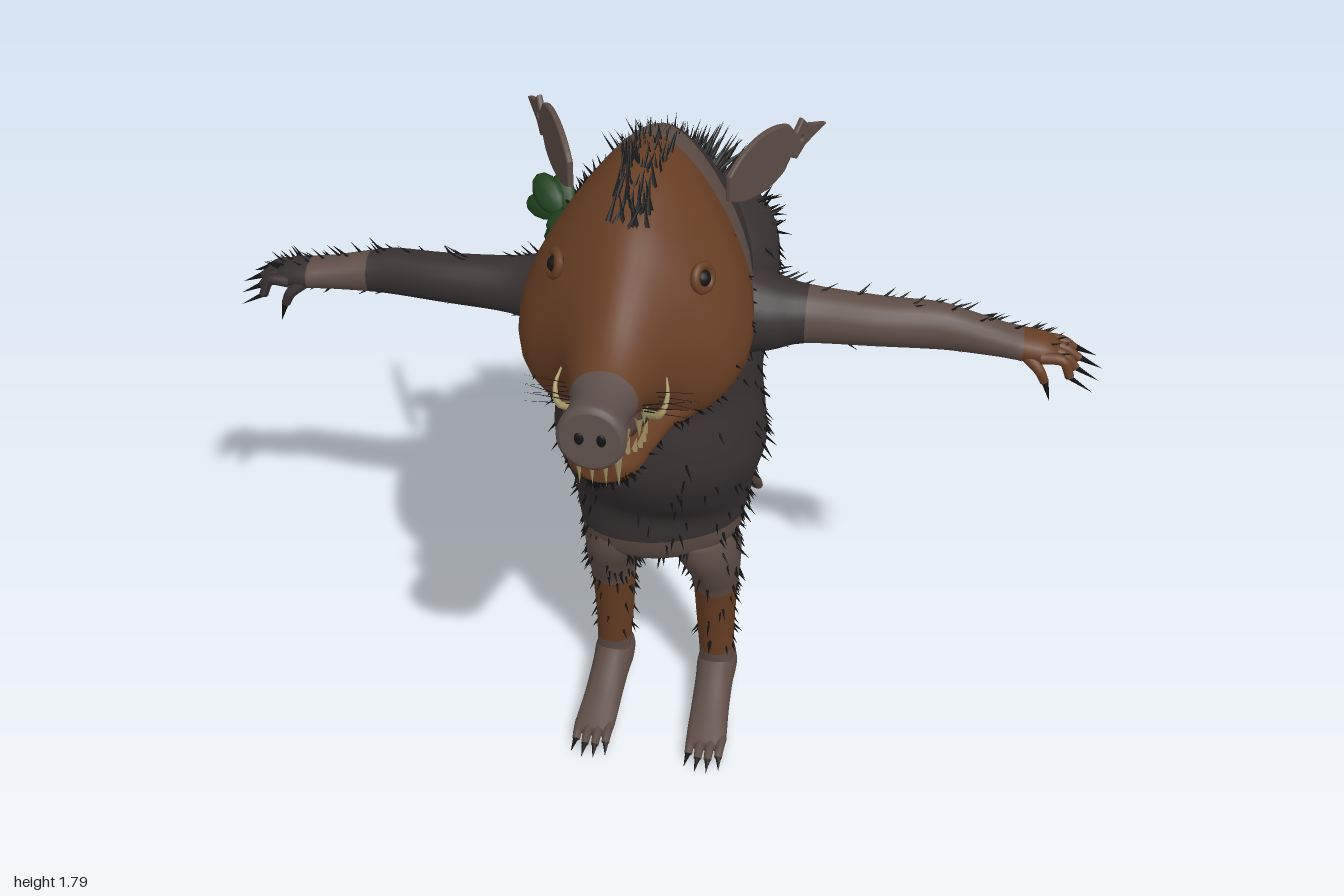
import * as THREE from 'three';
import { mergeGeometries } from 'three/addons/utils/BufferGeometryUtils.js';

const V = (x, y, z) => new THREE.Vector3(x, y, z);
const paint = (name, color, side = THREE.FrontSide) => {
  const m = new THREE.MeshStandardMaterial({ color, side });
  m.name = name;
  return m;
};

export function createModel() {
  const model = new THREE.Group();
  model.name = 'boarRatCreature';
  const dark = paint('darkHide', 0x373031), brown = paint('rustHide', 0x663d23);
  const grey = paint('greyHide', 0x5d4c45, THREE.DoubleSide), snoutGrey = paint('snoutSkin', 0x5e504c);
  const black = paint('blackBristle', 0x151415, THREE.DoubleSide), green = paint('leafGreen', 0x20401e);
  const bone = paint('toothBone', 0xa59667), mouthRed = paint('mouthFlesh', 0x3a2420);

  let seed = 7;
  const rnd = () => (seed = (seed * 16807) % 2147483647) / 2147483647;
  const add = (name, geo, mat) => {
    const m = new THREE.Mesh(geo, mat);
    m.name = name;
    model.add(m);
    return m;
  };

  // Smooth skin through rows [t, a, b, ra, rb, pear, shear] along an axis; colours = [[untilRow, material], ...]
  function loft(name, axis, rows, colours, side = 1, n = 28, sub = 4) {
    const get = (i, k) => rows[Math.min(Math.max(i, 0), rows.length - 1)][k] || 0;
    const pos = [], idx = [], rings = (rows.length - 1) * sub + 1;
    const put = (t, a, b) => {
      const p = axis === 'x' ? [t, a, b] : axis === 'y' ? [b, t, a] : [a, b, t];
      pos.push(p[0] * side, p[1], p[2]);
    };
    const row = r => {
      const i = Math.min(Math.floor(r / sub), rows.length - 2), f = r / sub - i;
      return [0, 1, 2, 3, 4, 5, 6].map(k => {
        const p1 = get(i, k), p2 = get(i + 1, k);
        const m1 = (p2 - get(i - 1, k)) / 2, m2 = (get(i + 2, k) - p1) / 2;
        return p1 + m1 * f + (3 * (p2 - p1) - 2 * m1 - m2) * f * f + (2 * (p1 - p2) + m1 + m2) * f ** 3;
      });
    };
    for (let r = 0; r < rings; r++) {
      const [t, a, b, ra, rb, pear, shear] = row(r);
      for (let j = 0; j < n; j++) {
        const c = Math.cos(j / n * Math.PI * 2), s = Math.sin(j / n * Math.PI * 2);
        put(t + shear * rb * s, a + ra * c * (1 - pear * s), b + rb * s);
      }
    }
    const first = row(0), last = row(rings - 1);
    put(...first); put(...last);
    const tri = (a, b, c) => side > 0 ? idx.push(a, b, c) : idx.push(a, c, b);
    const geo = new THREE.BufferGeometry();
    let start = 0, ci = 0;
    for (let j = 0; j < n; j++) tri(rings * n, (j + 1) % n, j);
    for (let r = 0; r < rings - 1; r++) {
      if (r === colours[ci][0] * sub) {
        geo.addGroup(start, idx.length - start, ci++);
        start = idx.length;
      }
      for (let j = 0; j < n; j++) {
        const a = r * n + j, b = r * n + (j + 1) % n;
        tri(a, b, a + n); tri(b, b + n, a + n);
      }
    }
    for (let j = 0; j < n; j++) tri(rings * n + 1, (rings - 1) * n + j, (rings - 1) * n + (j + 1) % n);
    geo.addGroup(start, idx.length - start, ci);
    geo.setAttribute('position', new THREE.Float32BufferAttribute(pos, 3));
    geo.setIndex(idx);
    geo.computeVertexNormals();
    return add(name, geo, colours.map(c => c[1]));
  }

  // Spikes: a list of [base, direction, length, radius] merged into one mesh
  const unit = new THREE.ConeGeometry(1, 1, 4, 1, true).translate(0, 0.5, 0);
  const spikes = (name, list, mat) => add(name, mergeGeometries(list.map(([p, d, l, r]) => unit.clone().applyMatrix4(
    new THREE.Matrix4().compose(p, new THREE.Quaternion().setFromUnitVectors(V(0, 1, 0), d.clone().normalize()), V(r, l, r))))), mat);

  // Scatter bristles over a skin; rule(p, n) gives [direction, length, radius] or null
  function bristles(name, mesh, tries, rule) {
    const g = mesh.geometry, ix = g.index, list = [];
    for (let k = 0; k < tries; k++) {
      const t = Math.floor(rnd() * ix.count / 3) * 3, u = rnd(), w = rnd() * (1 - u);
      const mix = at => [u, w, 1 - u - w].reduce((s, f, q) =>
        s.addScaledVector(V(0, 0, 0).fromBufferAttribute(at, ix.getX(t + q)), f), V(0, 0, 0));
      const p = mix(g.attributes.position), nrm = mix(g.attributes.normal).normalize(), h = rule(p, nrm);
      if (h) list.push([p.addScaledVector(nrm, -0.004), h[0], h[1] * (0.7 + rnd() * 0.6), h[2]]);
    }
    spikes(name, list, black);
  }
  const jitter = s => V(rnd() - 0.5, rnd() - 0.5, rnd() - 0.5).multiplyScalar(s);

  // Torso with belly and humped back: [y, front z, back z, half width]
  const torso = loft('torso', 'y', [
    [0.53, 0.12, -0.03, 0.11], [0.57, 0.165, -0.075, 0.19], [0.635, 0.185, -0.09, 0.206], [0.72, 0.195, -0.095, 0.218],
    [0.8, 0.25, -0.115, 0.23], [0.9, 0.295, -0.145, 0.255], [1.0, 0.295, -0.14, 0.25], [1.1, 0.28, -0.14, 0.24],
    [1.2, 0.285, -0.21, 0.245], [1.3, 0.26, -0.268, 0.26], [1.4, 0.2, -0.275, 0.25], [1.47, 0.13, -0.225, 0.21],
    [1.53, 0.07, -0.15, 0.13], [1.56, 0.0, -0.08, 0.05],
  ].map(([y, f, b, w]) => [y, (f + b) / 2, 0, (f - b) / 2, w, 0, y < 0.7 ? 0.16 : 0]), [[2, grey], [99, dark]], 1, 36);
  bristles('torsoBristles', torso, 1500, (p, n) => {
    if (p.z < -0.06 && p.y > 1.12) return [n.clone().multiplyScalar(0.6).add(V(0, -0.3, -0.6)).add(jitter(0.5)), 0.055, 0.005];
    if (rnd() < (p.z > 0.1 ? 0.8 : 0.35)) return null;
    return [n.clone().multiplyScalar(0.45).add(V(0, -0.8, -0.15)).add(jitter(0.5)), 0.04, 0.0045];
  });

  // Long mane down the middle of the hump
  const ridge = new THREE.CatmullRomCurve3([V(0, 1.54, -0.04), V(0, 1.52, -0.14), V(0, 1.46, -0.22), V(0, 1.38, -0.265), V(0, 1.29, -0.255), V(0, 1.2, -0.2), V(0, 1.13, -0.15)]);
  const mane = [];
  for (let i = 0; i < 300; i++) {
    const p = ridge.getPointAt(rnd()), x = (rnd() + rnd() - 1) * 0.12;
    const out = V(x * 2, p.y - 1.33, p.z + 0.02).normalize().add(V(0, 0, -0.3)).add(jitter(0.5));
    mane.push([p.add(V(x, 0, Math.abs(x) * 0.15)), out, 0.075 + rnd() * 0.05, 0.006]);
  }
  spikes('backMane', mane, black);

  // Head: [z, top y, bottom y, half width, shear, pear]
  const rowsZ = list => list.map(([z, t, b, w, s = 0, pear = 0]) => [z, 0, (t + b) / 2, w, (t - b) / 2, pear, s]);
  const head = loft('head', 'z', rowsZ([
    [-0.07, 1.57, 1.22, 0.19, -0.34, 0.3], [0.05, 1.67, 1.22, 0.2, -0.34, 0.35], [0.14, 1.725, 1.22, 0.21, -0.34, 0.38],
    [0.25, 1.755, 1.23, 0.225, -0.34, 0.38], [0.35, 1.757, 1.235, 0.236, -0.3, 0.38], [0.45, 1.71, 1.25, 0.212, -0.2, 0.38],
    [0.52, 1.65, 1.28, 0.163, -0.1, 0.3], [0.58, 1.597, 1.33, 0.118, 0, 0.2], [0.64, 1.557, 1.375, 0.09, 0, 0.1],
    [0.7, 1.53, 1.395, 0.069], [0.74, 1.523, 1.4, 0.06], [0.78, 1.525, 1.394, 0.063, -0.05], [0.82, 1.53, 1.386, 0.07, -0.08],
    [0.832, 1.518, 1.398, 0.058, -0.08],
  ]), [[2, dark], [3, grey], [9, brown], [99, snoutGrey]], 1, 36);
  bristles('headBristles', head, 1500, (p, n) => {
    if (p.z > 0.6 || p.z < 0.1 || rnd() < (p.y < 1.34 ? 0.6 : 0.88)) return null;
    return [n.clone().multiplyScalar(0.3).add(V(0, -0.6, -0.6)).add(jitter(0.3)), 0.036, 0.0045];
  });
  const crest = [];
  for (let i = 0; i < 150; i++) {
    const z = -0.06 + rnd() * 0.5;
    const y = z > 0.2 ? 1.755 - (z - 0.25) ** 2 * 1.5 : 1.755 - (0.2 - z) * 0.6;
    crest.push([V((rnd() - 0.5) * 0.09, y - 0.02, z), V(0, 0.8, -0.6).add(jitter(0.7)), 0.045 + rnd() * 0.035, 0.006]);
  }
  spikes('headCrest', crest, black);

  // Jaw and mouth
  const jaw = loft('lowerJaw', 'z', rowsZ([[0.36, 1.36, 1.235, 0.2], [0.48, 1.37, 1.25, 0.17], [0.56, 1.37, 1.262, 0.12],
    [0.65, 1.36, 1.268, 0.09], [0.72, 1.36, 1.274, 0.074], [0.752, 1.362, 1.29, 0.052], [0.76, 1.355, 1.3, 0.035]]), [[99, brown]]);
  bristles('chinBeard', jaw, 330, (p, n) => p.y > 1.33 ? null :
    [n.clone().multiplyScalar(0.3).add(V(0, -0.6, -0.5)).add(jitter(0.4)), 0.034, 0.0045]);
  loft('mouth', 'z', rowsZ([[0.48, 1.42, 1.32, 0.12], [0.58, 1.4, 1.33, 0.09], [0.67, 1.37, 1.335, 0.05]]), [[99, mouthRed]], 1, 16);
  const teeth = [];
  for (let i = -7; i <= 7; i++) {
    const a = i / 7 * 1.75;
    const p = V(Math.sin(a) * 0.07, 1.335, 0.655 + Math.cos(a) * 0.085);
    teeth.push([p, V(Math.sin(a) * 0.2, 1, 0.1), Math.abs(i) < 4 ? 0.06 : 0.045, 0.008]);
    if (i % 2) teeth.push([p.clone().setY(1.41), V(0, -1, 0), 0.05, 0.009]);
  }
  for (const x of [-0.04, -0.014, 0.014, 0.04]) teeth.push([V(x, 1.375, 0.765), V(0, -1, -0.05), 0.085, 0.009]);
  spikes('teeth', teeth, bone);

  // Tapered tube: a bent limb along a few points
  function taper(name, pts, r0, r1, mat, seg = 10, sides = 8) {
    const curve = new THREE.CatmullRomCurve3(pts), g = new THREE.TubeGeometry(curve, seg, 1, sides), at = g.attributes.position;
    for (let i = 0; i < at.count; i++) {
      const f = Math.floor(i / (sides + 1)) / seg, c = curve.getPointAt(f), r = r0 + (r1 - r0) * f;
      const v = V(0, 0, 0).fromBufferAttribute(at, i).sub(c).multiplyScalar(r).add(c);
      at.setXYZ(i, v.x, v.y, v.z);
    }
    return add(name, g, mat);
  }

  for (const s of [1, -1]) {
    const label = s > 0 ? 'left' : 'right';

    // Face details
    add(label + 'Eye', new THREE.SphereGeometry(0.02, 14, 10).translate(s * 0.15, 1.593, 0.437), black);
    const lid = add(label + 'Eyelid', new THREE.TorusGeometry(0.025, 0.01, 8, 18), brown);
    lid.position.set(s * 0.154, 1.595, 0.439);
    lid.lookAt(s * 0.9, 1.85, 0.85);
    const nostril = add(label + 'Nostril', new THREE.SphereGeometry(0.012, 10, 8), black);
    nostril.position.set(s * 0.022, 1.462, 0.832);
    nostril.scale.set(0.8, 1.2, 0.4);
    taper(label + 'Tusk', [V(s * 0.08, 1.38, 0.63), V(s * 0.105, 1.4, 0.65), V(s * 0.115, 1.43, 0.63), V(s * 0.108, 1.455, 0.6)], 0.01, 0.002, bone);
    const whiskers = [];
    for (let i = 0; i < 6; i++)
      whiskers.push([V(s * 0.065, 1.4 + (i % 3) * 0.018, 0.6 + i * 0.015), V(s, (i % 3) * 0.1 - 0.1, 0.1 - i * 0.05), 0.12, 0.0018]);
    spikes(label + 'Whiskers', whiskers, black);

    // Torn ear with a hole
    const e = new THREE.Shape();
    e.moveTo(0, -0.025);
    e.bezierCurveTo(0.06, -0.06, 0.14, -0.07, 0.2, -0.045);
    e.lineTo(0.225, -0.02); e.lineTo(0.25, -0.035); e.lineTo(0.28, -0.015); e.lineTo(0.36, 0.0);
    e.lineTo(0.29, 0.025); e.lineTo(0.27, 0.045); e.lineTo(0.245, 0.02); e.lineTo(0.215, 0.055);
    e.bezierCurveTo(0.16, 0.085, 0.06, 0.085, 0, 0.03);
    e.holes.push(new THREE.Path().absarc(0.265, 0.004, 0.011, 0, Math.PI * 2, true));
    const ear = add(label + 'Ear', new THREE.ExtrudeGeometry(e, { depth: 0.006, bevelSize: 0.004, bevelThickness: 0.004, bevelSegments: 2 }), grey);
    ear.position.set(s * 0.17, 1.675, 0.22);
    ear.rotation.y = s > 0 ? 1.107 : Math.PI - 1.107;

    // Arm, hand and claws
    const hand = s > 0 ? brown : dark;
    const arm = loft(label + 'Arm', 'x', [
      [0.16, 1.31, 0.1, 0.12, 0.11], [0.26, 1.3, 0.105, 0.088, 0.09], [0.34, 1.3, 0.1, 0.068, 0.064], [0.5, 1.3, 0.1, 0.058, 0.056],
      [0.62, 1.297, 0.09, 0.056, 0.05], [0.68, 1.293, 0.092, 0.05, 0.046], [0.77, 1.288, 0.105, 0.038, 0.044],
      [0.82, 1.285, 0.11, 0.034, 0.047], [0.87, 1.28, 0.108, 0.03, 0.046], [0.9, 1.272, 0.106, 0.018, 0.036],
    ], s > 0 ? [[2, dark], [7, grey], [99, brown]] : [[5, dark], [7, grey], [99, dark]], s, 20);
    bristles(label + 'ArmBristles', arm, 200, (p, n) => Math.abs(p.x) < 0.24 || n.z > 0.3 ? null :
      [n.clone().multiplyScalar(0.5).add(V(s * 0.8, 0, -0.2)).add(jitter(0.5)), 0.036, 0.004]);
    const claws = [];
    for (let i = 0; i < 4; i++) {
      const z = 0.07 + i * 0.026, x = 0.95 - Math.abs(i - 1.2) * 0.012, y = 1.258 - i * 0.007;
      taper(label + 'Finger', [V(s * 0.86, 1.278, z), V(s * 0.91, 1.275, z), V(s * x, y, z * 1.1 - 0.01)], 0.015, 0.01, hand);
      claws.push([V(s * (x - 0.008), y + 0.005, z * 1.1 - 0.01), V(s, -0.5, (i - 1.5) * 0.15), 0.068, 0.009]);
    }
    taper(label + 'Thumb', [V(s * 0.83, 1.275, 0.14), V(s * 0.86, 1.25, 0.155), V(s * 0.875, 1.22, 0.155)], 0.016, 0.01, hand);
    claws.push([V(s * 0.875, 1.225, 0.155), V(s * 0.3, -1, 0), 0.06, 0.009]);

    // Leg and foot
    const leg = loft(label + 'Leg', 'y', [
      [0.1, 0.012, 0.14, 0.042, 0.045], [0.15, 0.012, 0.138, 0.045, 0.046], [0.25, 0.012, 0.135, 0.056, 0.05], [0.39, 0.02, 0.134, 0.073, 0.058],
      [0.46, 0.032, 0.13, 0.091, 0.068], [0.54, 0.043, 0.113, 0.112, 0.085], [0.6, 0.045, 0.098, 0.112, 0.085],
    ], [[1, grey], [3, brown], [99, grey]], s, 24);
    bristles(label + 'LegBristles', leg, 240, (p, n) => p.y < 0.16 || (n.z > 0.2 && rnd() < 0.7) ? null :
      [n.clone().multiplyScalar(0.5).add(V(0, -0.9, 0)).add(jitter(0.4)), 0.034, 0.0045]);
    loft(label + 'Foot', 'z', [
      [-0.078, 0.14, 0.065, 0.018, 0.022], [-0.055, 0.14, 0.063, 0.042, 0.048], [0, 0.14, 0.073, 0.053, 0.066], [0.06, 0.141, 0.064, 0.05, 0.056],
      [0.15, 0.144, 0.043, 0.05, 0.036], [0.23, 0.148, 0.026, 0.052, 0.021], [0.265, 0.148, 0.02, 0.046, 0.014],
    ], [[99, grey]], s, 20);
    for (let i = 0; i < 4; i++) {
      const x = s * (0.11 + i * 0.026), z = 0.31 - Math.abs(i - 1.5) * 0.012;
      taper(label + 'Toe', [V(x, 0.024, 0.23), V(x, 0.024, 0.27), V(x, 0.015, z)], 0.014, 0.01, grey);
      claws.push([V(x, 0.018, z - 0.006), V(s * (i - 1.5) * 0.1, -0.3, 1), 0.045, 0.009]);
    }
    spikes(label + 'Claws', claws, black);
  }

  // Tail
  taper('tail', [V(0, 0.87, -0.09), V(0.01, 0.835, -0.2), V(0.02, 0.76, -0.3), V(0.05, 0.59, -0.41), V(0.105, 0.4, -0.5),
    V(0.155, 0.22, -0.6), V(0.145, 0.11, -0.71), V(0.06, 0.075, -0.79), V(-0.035, 0.066, -0.835)], 0.035, 0.006, grey, 48, 10);

  // Leaves caught in the fur: [position, direction, length]
  const leaves = [
    [V(-0.26, 1.41, -0.05), V(-0.6, 0.5, -0.6), 0.11], [V(-0.26, 1.4, -0.08), V(-0.9, -0.1, -0.3), 0.1],
    [V(-0.25, 1.4, -0.08), V(-0.3, 0.7, -0.6), 0.09], [V(-0.24, 1.4, 0.03), V(-0.2, 0, -1), 0.11], [V(-0.27, 1.37, -0.06), V(-0.4, -0.7, -0.5), 0.08],
    [V(0.52, 1.27, 0.05), V(0.2, -0.4, -0.7), 0.08], [V(0.52, 1.25, 0.06), V(0, -0.8, -0.5), 0.06],
    [V(0.13, 1.13, -0.14), V(0.2, -0.4, -0.7), 0.09], [V(0.12, 1.09, -0.14), V(0, -0.8, -0.6), 0.1], [V(0.15, 1.1, -0.13), V(0.4, 0.2, -0.8), 0.08],
  ];
  for (const [p, d, l] of leaves) {
    const leaf = add('leaf', new THREE.SphereGeometry(0.5, 8, 6).scale(0.65, 1, 0.3).translate(0, 0.5, 0), green);
    leaf.position.copy(p);
    leaf.quaternion.setFromUnitVectors(V(0, 1, 0), d.normalize());
    leaf.scale.setScalar(l);
  }
  return model;
}
